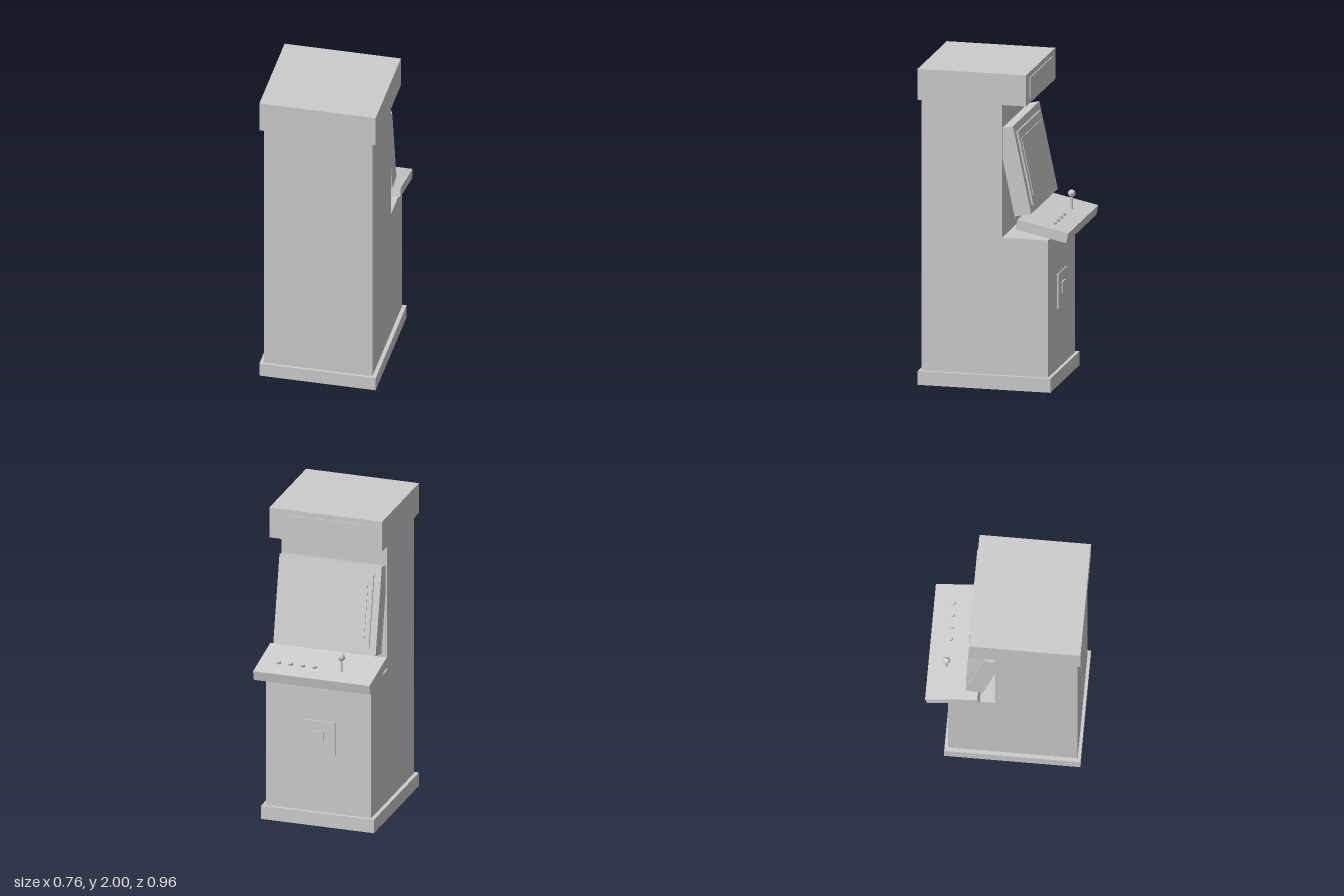
import * as THREE from 'three';

const grey = new THREE.MeshStandardMaterial({ color: 0xcccccc, flatShading: true });
grey.name = 'plain grey';

const TILT = THREE.MathUtils.degToRad(12);

export function createModel() {
  const model = new THREE.Group();
  model.name = 'arcadeCabinet';

  const add = (name, geometry, x, y, z, parent = model) => {
    const mesh = new THREE.Mesh(geometry, grey);
    mesh.name = name;
    mesh.position.set(x, y, z);
    parent.add(mesh);
    return mesh;
  };
  // Box given by its width and its y and z ranges, centred on x
  const slab = (name, w, y0, y1, z0, z1, parent) =>
    add(name, new THREE.BoxGeometry(w, y1 - y0, z1 - z0), 0, (y0 + y1) / 2, (z0 + z1) / 2, parent);
  const tilted = (name, y, z, angle) => {
    const group = new THREE.Group();
    group.name = name;
    group.position.set(0, y, z);
    group.rotation.x = angle;
    model.add(group);
    return group;
  };

  // Plinth and overhanging header
  slab('plinth', 0.734, 0, 0.088, -0.362, 0.479);
  slab('header', 0.734, 1.803, 2, -0.209, 0.479);
  slab('marqueePanel', 0.56, 1.833, 1.966, -0.215, -0.205);

  // Stepped cabinet: side profile extruded across the width
  const profile = new THREE.Shape([
    [-0.46, 0.08], [0.341, 0.08], [0.341, 0.957], [0.05, 0.957], [0.05, 1.81], [-0.46, 1.81],
  ].map(([z, y]) => new THREE.Vector2(z, y)));
  const body = new THREE.ExtrudeGeometry(profile, { depth: 0.684, bevelEnabled: false });
  body.translate(0, 0, -0.342).rotateY(Math.PI / 2);
  add('cabinetBody', body, 0, 0, 0);

  // Leaning monitor with frame and screen
  const monitor = tilted('monitor', 1.379, -0.122, TILT);
  slab('monitorHousing', 0.666, -0.28, 0.28, -0.054, 0.054, monitor);
  slab('screenFrame', 0.578, -0.234, 0.234, -0.066, -0.05, monitor);
  slab('screen', 0.512, -0.184, 0.184, -0.071, -0.06, monitor);

  // Sloping control panel with a row of buttons
  const panel = tilted('controlPanel', 1.021, -0.311, -TILT);
  slab('controlDeck', 0.757, -0.0315, 0.0315, -0.165, 0.165, panel);
  const button = new THREE.CylinderGeometry(0.015, 0.015, 0.02, 16);
  for (let i = 0; i < 4; i++) add('button', button, 0.02 + i * 0.0785, 0.0345, -0.042, panel);

  // Joystick
  add('joystickShaft', new THREE.CylinderGeometry(0.007, 0.007, 0.1, 8), -0.157, 1.08, -0.366);
  add('joystickBall', new THREE.SphereGeometry(0.024, 8, 6), -0.157, 1.138, -0.366);

  // Coin door and its slot plate
  slab('coinDoor', 0.22, 0.47, 0.688, -0.348, -0.335);
  slab('coinSlotPlate', 0.07, 0.553, 0.623, -0.357, -0.34);

  return model;
}
